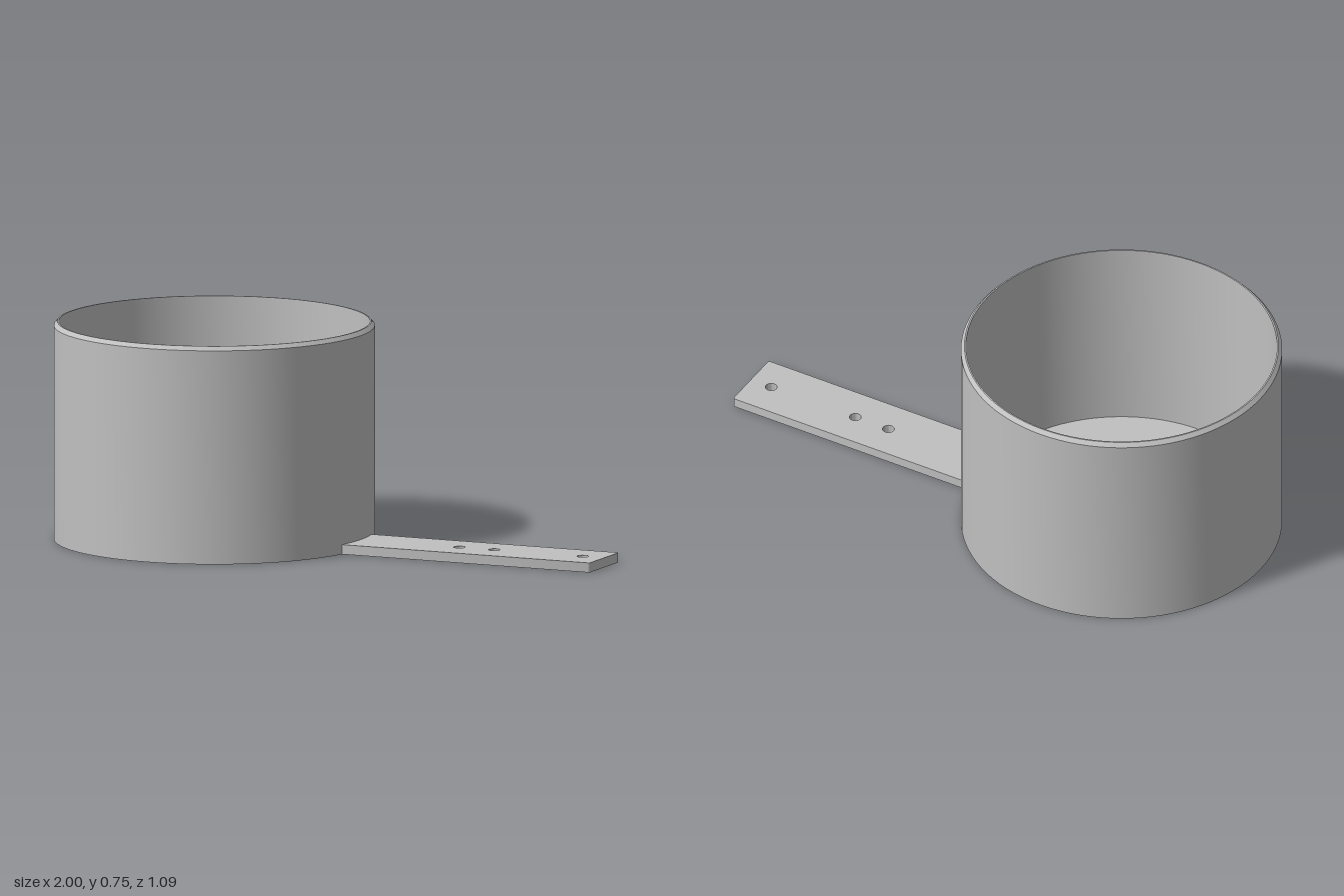
import * as THREE from 'three';
import { toCreasedNormals } from 'three/addons/utils/BufferGeometryUtils.js';

export function createModel() {
  const group = new THREE.Group();
  const grey = new THREE.MeshStandardMaterial({ color: 0xc0c0c0 });
  grey.name = 'grey';

  const cupX = -0.455, outer = 0.545, floor = 0.033;

  // Cup: thin wall, chamfered rim, floor with a wide round opening
  const profile = [
    [0.33, 0], [outer, 0], [outer, 0.734], [0.533, 0.748],
    [0.528, 0.748], [0.528, floor], [0.33, floor], [0.33, 0],
  ].map(([r, y]) => new THREE.Vector2(r, y));
  const cup = new THREE.Mesh(
    toCreasedNormals(new THREE.LatheGeometry(profile, 96), 0.5), grey);
  cup.name = 'cup';
  cup.position.x = cupX;
  group.add(cup);

  // Handle: flat strip, its inner end following the cup wall
  const half = 0.12, corner = 0.007, end = 1;
  const angle = Math.asin(half / outer);
  const strip = new THREE.Shape();
  strip.moveTo(cupX + outer * Math.cos(angle), -half);
  strip.lineTo(end - corner, -half);
  strip.absarc(end - corner, -half + corner, corner, -Math.PI / 2, 0, false);
  strip.absarc(end - corner, half - corner, corner, 0, Math.PI / 2, false);
  strip.lineTo(cupX + outer * Math.cos(angle), half);
  strip.absarc(cupX, 0, outer, angle, -angle, true);

  // Screw holes along the handle
  for (const x of [0.46, 0.59, 0.92]) {
    const hole = new THREE.Path();
    hole.absarc(x, 0, 0.02, 0, Math.PI * 2, true);
    strip.holes.push(hole);
  }
  const stripGeometry = new THREE.ExtrudeGeometry(strip, {
    depth: floor, bevelEnabled: false, curveSegments: 16,
  });
  stripGeometry.rotateX(-Math.PI / 2);
  const handle = new THREE.Mesh(toCreasedNormals(stripGeometry, 0.6), grey);
  handle.name = 'handle';
  group.add(handle);

  return group;
}
